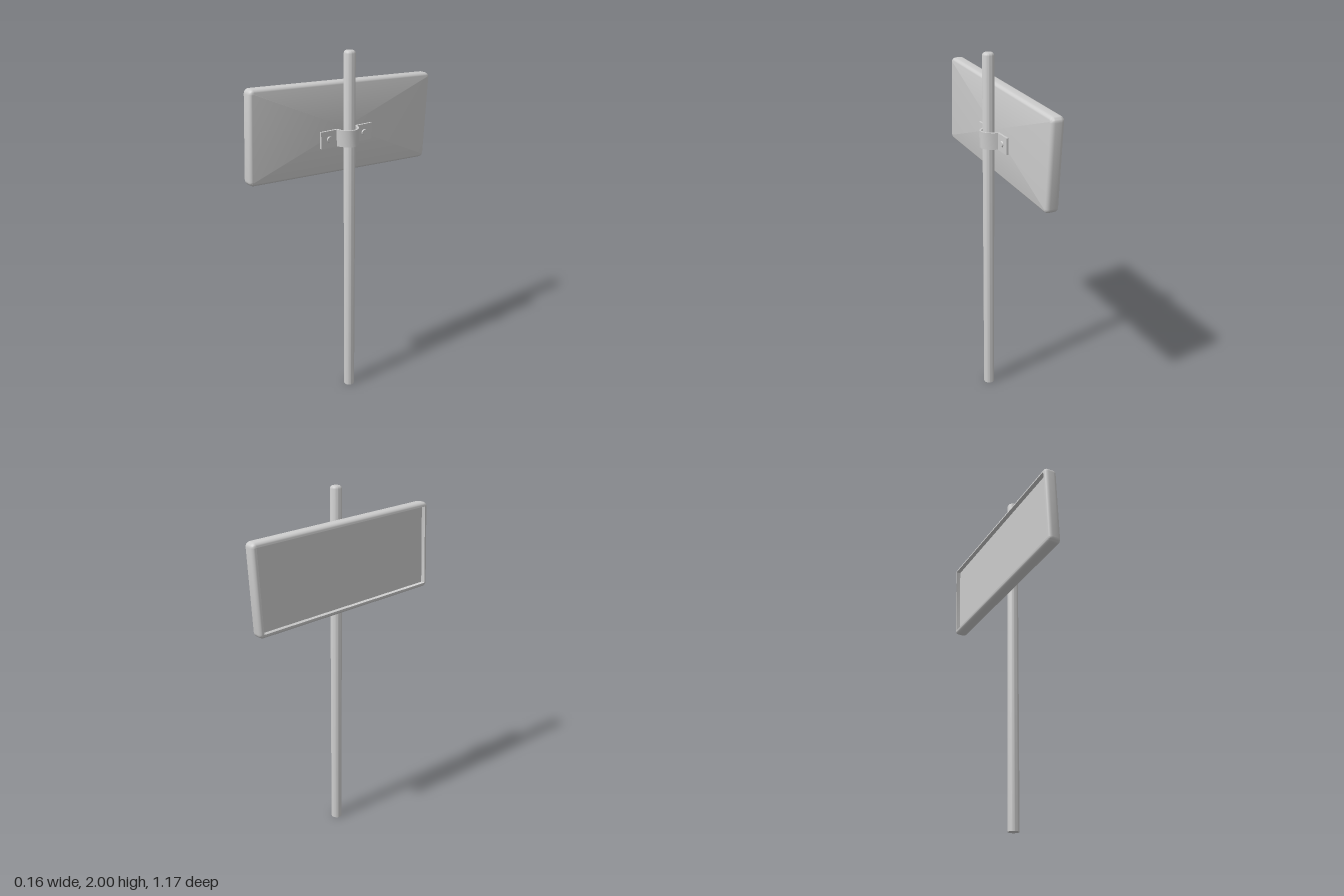
import * as THREE from 'three';
import { toCreasedNormals } from 'three/addons/utils/BufferGeometryUtils.js';

const grey = new THREE.MeshStandardMaterial({ color: 0xcccccc });

function add(parent, name, geometry) {
  const mesh = new THREE.Mesh(geometry, grey);
  mesh.name = name;
  parent.add(mesh);
  return mesh;
}

// Rounded rectangle loop in the z-y plane, drawn in from the outline by inset
function roundedLoop(x, inset, length, height, corner, steps) {
  const r = Math.max(corner - inset, 0.002);
  const w = length / 2 - inset - r, h = height / 2 - inset - r;
  const loop = [];
  [[1, 1], [-1, 1], [-1, -1], [1, -1]].forEach(([sz, sy], q) => {
    for (let i = 0; i <= steps; i++) {
      const a = (q + i / steps) * Math.PI / 2;
      loop.push([x, sy * h + r * Math.sin(a), sz * w + r * Math.cos(a)]);
    }
  });
  return loop;
}

// Tray-like board: loops run from the back centre, round the rim, into the recess
function boardGeometry(length, height, thick) {
  const r = 0.022, half = thick / 2, lip = 0.018, depth = 0.025;
  const profile = [];
  for (let i = 0; i <= 5; i++) {
    const a = i / 5 * Math.PI / 2;
    profile.push([half - r + r * Math.cos(a), r - r * Math.sin(a)]);
  }
  for (let i = 0; i <= 5; i++) {
    const a = i / 5 * Math.PI / 2;
    profile.push([-half + r - r * Math.sin(a), r - r * Math.cos(a)]);
  }
  profile.push([-half, lip + 0.006], [-half + depth, lip + 0.006]);

  const loops = profile.map(([x, inset]) => roundedLoop(x, inset, length, height, 0.026, 5));
  const n = loops[0].length, pos = [];
  const tri = (a, b, c) => pos.push(...a, ...b, ...c);
  const back = [half, 0, 0], floor = [-half + depth, 0, 0];
  for (let j = 0; j < n; j++) {
    const k = (j + 1) % n, last = loops[loops.length - 1];
    tri(back, loops[0][k], loops[0][j]);
    for (let i = 0; i < loops.length - 1; i++) {
      tri(loops[i][j], loops[i][k], loops[i + 1][j]);
      tri(loops[i][k], loops[i + 1][k], loops[i + 1][j]);
    }
    tri(last[j], last[k], floor);
  }
  const g = new THREE.BufferGeometry();
  g.setAttribute('position', new THREE.Float32BufferAttribute(pos, 3));
  return toCreasedNormals(g, 0.7);
}

// Strap bent round the pole, with a flat ear on each side
function strapGeometry(height) {
  const outer = [[0.007, 0.165], [0.007, 0.067], [0.028, 0.06], [0.05, 0.047], [0.066, 0.03], [0.075, 0.012]];
  const inner = [[-0.005, 0.165], [-0.005, 0.057], [0.024, 0.05], [0.043, 0.039], [0.057, 0.025], [0.065, 0.009]];
  const mirror = (list) => list.map(([x, z]) => [x, -z]).reverse();
  const outline = [...outer, ...mirror(outer), ...inner.map(([x, z]) => [x, -z]), ...[...inner].reverse()];
  const shape = new THREE.Shape(outline.map(([x, z]) => new THREE.Vector2(x, z)));
  const g = new THREE.ExtrudeGeometry(shape, { depth: height, bevelEnabled: false });
  g.rotateX(-Math.PI / 2);
  return toCreasedNormals(g, 0.55);
}

export function createModel() {
  const model = new THREE.Group();
  model.name = 'signpost';

  // Pole with a softened top edge
  const polePoints = [[0, 0], [0.031, 0], [0.031, 1.986], [0.028, 1.995], [0.021, 2], [0, 2]]
    .map(([r, y]) => new THREE.Vector2(r, y));
  const pole = add(model, 'pole', toCreasedNormals(new THREE.LatheGeometry(polePoints, 32), 0.8));
  pole.position.x = 0.029;

  // Slightly tilted board
  const board = add(model, 'board', boardGeometry(1.148, 0.487, 0.075));
  board.position.set(-0.0425, 1.595, 0);
  board.rotation.x = -0.05;

  // Clamp holding the board to the pole
  const clamp = new THREE.Group();
  clamp.name = 'clamp';
  clamp.position.y = 1.505;
  model.add(clamp);
  add(clamp, 'strap', strapGeometry(0.09));
  for (const side of [1, -1]) {
    const bolt = add(clamp, side > 0 ? 'frontBolt' : 'backBolt',
      new THREE.CylinderGeometry(0.014, 0.018, 0.008, 20));
    bolt.rotation.z = -Math.PI / 2;
    bolt.position.set(0.009, 0.045, side * 0.113);
  }
  return model;
}
